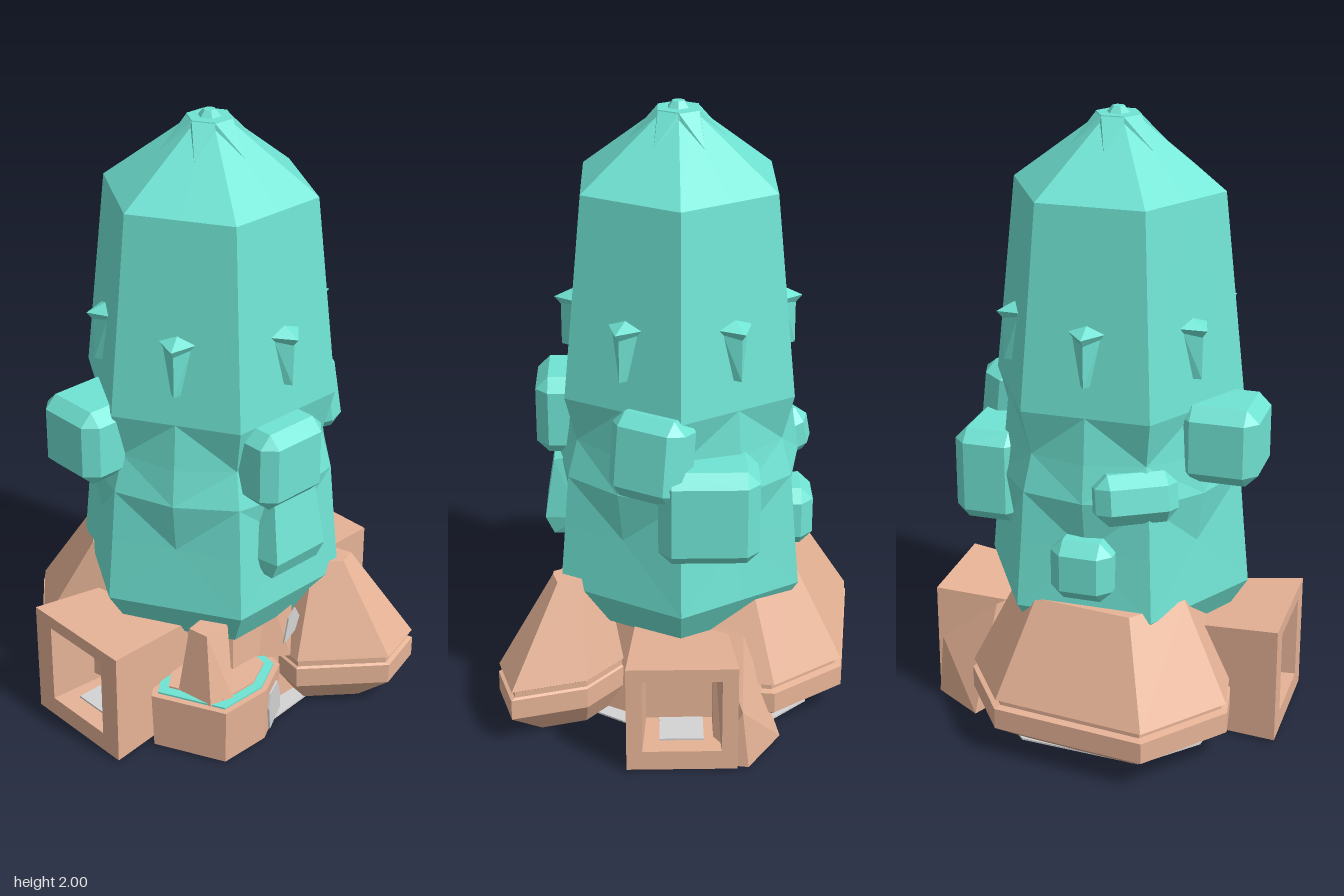
import * as THREE from 'three';
import { ConvexGeometry } from 'three/addons/geometries/ConvexGeometry.js';

function paint(name, color) {
  const m = new THREE.MeshStandardMaterial({ color, flatShading: true });
  m.name = name;
  return m;
}
const teal = paint('teal', 0x70e4d4);
const clay = paint('clay', 0xe6b396);
const grey = paint('grey', 0xd4d4d4);

const SIXTH = Math.PI / 3;

// Skin a stack of rings (lists of Vector3, counter-clockwise from above) and cap both ends.
// lean[r] = 0 or 1 mirrors the diagonals of band r about even or odd points.
function loft(rings, lean = []) {
  const pos = [];
  const tri = (...pts) => pts.forEach((p) => pos.push(p.x, p.y, p.z));
  const n = rings[0].length;
  for (let r = 0; r < rings.length - 1; r++) {
    for (let i = 0; i < n; i++) {
      const j = (i + 1) % n, lo = rings[r], hi = rings[r + 1];
      if (lean[r] === undefined || i % 2 === lean[r]) {
        tri(lo[i], lo[j], hi[j]);
        tri(lo[i], hi[j], hi[i]);
      } else {
        tri(lo[i], lo[j], hi[i]);
        tri(lo[j], hi[j], hi[i]);
      }
    }
  }
  const mid = (ring) => ring.reduce((s, p) => s.add(p), new THREE.Vector3()).divideScalar(n);
  const bottom = rings[0], top = rings[rings.length - 1];
  const cb = mid(bottom), ct = mid(top);
  for (let i = 0; i < n; i++) {
    const j = (i + 1) % n;
    tri(bottom[j], bottom[i], cb);
    tri(top[i], top[j], ct);
  }
  const g = new THREE.BufferGeometry();
  g.setAttribute('position', new THREE.Float32BufferAttribute(pos, 3));
  g.computeVertexNormals();
  return g;
}

// Twelve-point ring alternating hexagon corners and face middles
function towerRing([y, corner, middle = corner * 0.866]) {
  return Array.from({ length: 12 }, (_, i) => {
    const a = i * SIXTH / 2, r = i % 2 ? middle : corner;
    return new THREE.Vector3(r * Math.cos(a), y, -r * Math.sin(a));
  });
}

// Rock from a plan outline [x, z] scaled about a centre at each [y, scale]
function rock(outline, [cx, cz], levels) {
  const pts = outline.map(([x, z]) => new THREE.Vector2(x, z));
  if (THREE.ShapeUtils.area(pts) > 0) pts.reverse();
  return loft(levels.map(([y, s]) => pts.map((p) =>
    new THREE.Vector3(cx + (p.x - cx) * s, y, cz + (p.y - cz) * s))));
}

const hull = (pts) => new ConvexGeometry(pts.map((p) => new THREE.Vector3(...p)));

// Box with every edge cut off
function chamferBox(w, h, d, b) {
  const pts = [];
  for (const sx of [-1, 1]) for (const sy of [-1, 1]) for (const sz of [-1, 1]) {
    const x = w / 2, y = h / 2, z = d / 2;
    pts.push([sx * x, sy * (y - b), sz * (z - b)], [sx * (x - b), sy * y, sz * (z - b)],
      [sx * (x - b), sy * (y - b), sz * z]);
  }
  return hull(pts);
}

export function createModel() {
  const model = new THREE.Group();
  model.name = 'tower';
  const add = (name, geometry, material, x = 0, y = 0, z = 0, turn = 0, tilt = 0) => {
    const m = new THREE.Mesh(geometry, material);
    m.name = name;
    m.position.set(x, y, z);
    m.rotation.set(tilt, turn, 0, 'YXZ');
    model.add(m);
  };

  // Hexagonal shaft with undercut corners and face wedges
  add('shaft', loft([
    [0.34, 0.36], [0.47, 0.44], [0.68, 0.42, 0.36], [0.85, 0.405, 0.388],
    [0.97, 0.37, 0.37], [1.12, 0.41, 0.355], [1.76, 0.34],
  ].map(towerRing), [0, 0, 1, 1, 0, 0]), teal);

  // Hipped roof, collar and tip
  add('roof', loft([[1.76, 0.34], [1.96, 0.075]].map(towerRing)), teal);
  add('roofTip', loft([[1.93, 0.085], [1.98, 0.072], [1.98, 0.036], [2.0, 0.02]].map(towerRing)), teal);

  for (let i = 0; i < 6; i++) {
    const turn = i * SIXTH;
    // Pointed ribs below the collar
    add('roofRib', hull([[-0.036, 1.978, 0.062], [0.036, 1.978, 0.062], [0, 1.885, 0.152],
      [-0.045, 1.92, 0.07], [0.045, 1.92, 0.07]]), teal, 0, 0, 0, turn);
    // Pointed hood over each face with a slim fin below it
    add('hood', hull([[-0.062, 1.385, 0.325], [0.062, 1.385, 0.325], [0, 1.41, 0.32],
      [0, 1.378, 0.388], [0, 1.32, 0.34]]), teal, 0, 0, 0, turn);
    add('hoodFin', hull([[-0.045, 1.37, 0.33], [0.045, 1.37, 0.33], [0, 1.37, 0.368],
      [-0.015, 1.22, 0.345], [0.015, 1.22, 0.345], [0, 1.22, 0.368]]), teal, 0, 0, 0, turn);
  }

  // Chamfered blocks projecting from the shaft: size, position, turn and tilt
  const blocks = [
    ['frontUpperBlock', [0.26, 0.26, 0.2], [-0.05, 0.99, 0.355], 0, 0],
    ['rightSideBlock', [0.25, 0.25, 0.25], [-0.38, 1.015, -0.115], 0, 0],
    ['leftFrontBlock', [0.25, 0.27, 0.15], [0.368, 1.0, 0.087], SIXTH, -0.15],
    ['leftSideBlock', [0.22, 0.31, 0.31], [0.375, 0.825, -0.085], 0, 0],
    ['backLowBlock', [0.2, 0.2, 0.16], [0, 0.63, -0.357], 0, 0],
    ['backCornerBlock', [0.26, 0.16, 0.14], [-0.15, 0.87, -0.325], Math.PI + SIXTH / 2, -0.2],
  ];
  for (const [name, size, at, turn, tilt] of blocks) {
    add(name, chamferBox(...size, 0.04), teal, ...at, turn, tilt);
  }
  add('frontLowerBlock', hull([[-0.11, 0.87, 0.32], [0.09, 0.87, 0.32], [-0.1, 0.85, 0.4], [0.08, 0.85, 0.4],
    [-0.145, 0.66, 0.32], [0.12, 0.66, 0.32], [-0.115, 0.65, 0.432], [0.095, 0.65, 0.432],
    [-0.11, 0.59, 0.32], [0.09, 0.59, 0.32], [-0.11, 0.59, 0.405], [0.09, 0.59, 0.405]]), teal);

  // Foundation core under the shaft and the grey slab below it
  add('foundationCore', loft([[0.004, 0.36], [0.36, 0.33]].map(towerRing)), clay);
  add('baseSlab', rock([[-0.36, -0.28], [-0.2, -0.45], [0.2, -0.42], [0.38, -0.22], [0.4, 0.05],
    [0.2, 0.36], [-0.25, 0.4], [-0.41, 0.2], [-0.4, 0]], [0, 0], [[0, 1], [0.006, 1]]), grey);

  // Banded rock masses
  const banded = (foot, top, height) => [[0.004, foot], [0.1, 1], [0.17, 1], [0.175, 0.95],
    [0.195, 0.95], [0.2, 0.99], [height, top]];
  add('backRock', rock([[-0.46, -0.34], [-0.25, -0.595], [0.25, -0.53], [0.41, -0.3], [0.37, 0], [-0.4, 0]],
    [0, -0.1], banded(0.72, 0.64, 0.5)), clay);
  add('frontRock', rock([[0.02, 0.4], [0.26, 0.592], [0.435, 0.54], [0.37, 0.3], [0.2, 0.15], [0.05, 0.2]],
    [0.2, 0.32], banded(0.6, 0.32, 0.51)), clay);
  add('leftBackRock', hull([[0.57, 0.004, -0.21], [0.4, 0.004, -0.32], [0.3, 0.004, -0.1], [0.55, 0.004, -0.1],
    [0.36, 0.36, -0.2], [0.3, 0.36, -0.1], [0.56, 0.2, -0.19]]), clay);

  // Broken front corner: low wall, inner ledge, floor, pillar and shard
  const corner = [[-0.45, 0.21], [-0.34, 0.44], [-0.16, 0.44], [-0.03, 0.37], [0, 0.2], [-0.3, 0.08]];
  const corners = (levels) => rock(corner, [-0.2, 0.25], levels);
  add('brokenWall', corners([[0.004, 0.97], [0.2, 1]]), clay);
  add('wallLedge', corners([[0.198, 0.9], [0.206, 0.9]]), teal);
  add('wallFloor', corners([[0.204, 0.74], [0.212, 0.74]]), clay);
  add('brokenPillar', hull([[-0.37, 0.2, 0.25], [-0.35, 0.2, 0.38], [-0.27, 0.2, 0.4], [-0.24, 0.2, 0.25],
    [-0.33, 0.43, 0.26], [-0.32, 0.43, 0.33], [-0.23, 0.43, 0.33], [-0.23, 0.43, 0.24]]), clay);
  add('brokenShard', hull([[-0.08, 0.2, 0.28], [0.03, 0.2, 0.36], [0.12, 0.2, 0.28],
    [0.0, 0.42, 0.29], [0.06, 0.38, 0.33]]), clay);

  // Grey openings where the masonry is broken
  const patch = (pts) => new THREE.ExtrudeGeometry(
    new THREE.Shape(pts.map((p) => new THREE.Vector2(...p))), { depth: 0.006, bevelEnabled: false });
  add('wallOpening', patch([[-0.05, -0.07], [0.06, -0.06], [0.055, 0.01], [0.025, 0.07], [-0.05, 0.07],
    [-0.065, 0.02]]), grey, -0.095, 0.1, 0.407, 0.49);
  add('shardOpening', patch([[-0.03, -0.06], [0.02, -0.03], [0.04, 0.02], [0.02, 0.06], [-0.01, 0.03]]),
    grey, 0.03, 0.32, 0.352);

  // Square portals on both sides, flaring a little outwards
  for (const [name, side, half, height, reach] of [
    ['leftPortal', 1, 0.175, 0.375, 0.582], ['rightPortal', -1, 0.2, 0.4, 0.585]]) {
    const frame = new THREE.Shape([[-half, 0.008], [half, 0.008], [half, height], [-half, height]]
      .map((p) => new THREE.Vector2(...p)));
    frame.holes.push(new THREE.Path([[-0.125, 0.075], [-0.125, height - 0.045],
      [0.125, height - 0.045], [0.125, 0.075]].map((p) => new THREE.Vector2(...p))));
    const g = new THREE.ExtrudeGeometry(frame, { depth: reach - 0.25, bevelEnabled: false });
    const p = g.attributes.position;
    for (let i = 0; i < p.count; i++) {
      if (p.getZ(i) < 0.01) p.setXY(i, p.getX(i) * 0.82, p.getY(i) * 0.92);
    }
    g.computeVertexNormals();
    add(name, g, clay, side * 0.25, 0, 0, side * Math.PI / 2);
    add(name + 'Back', new THREE.BoxGeometry(0.06, 0.33, 0.28), clay, side * 0.36, 0.17, 0);
    add(name + 'Floor', new THREE.BoxGeometry(0.12, 0.008, 0.14), grey, side * 0.46, 0.076, 0);
  }
  return model;
}
